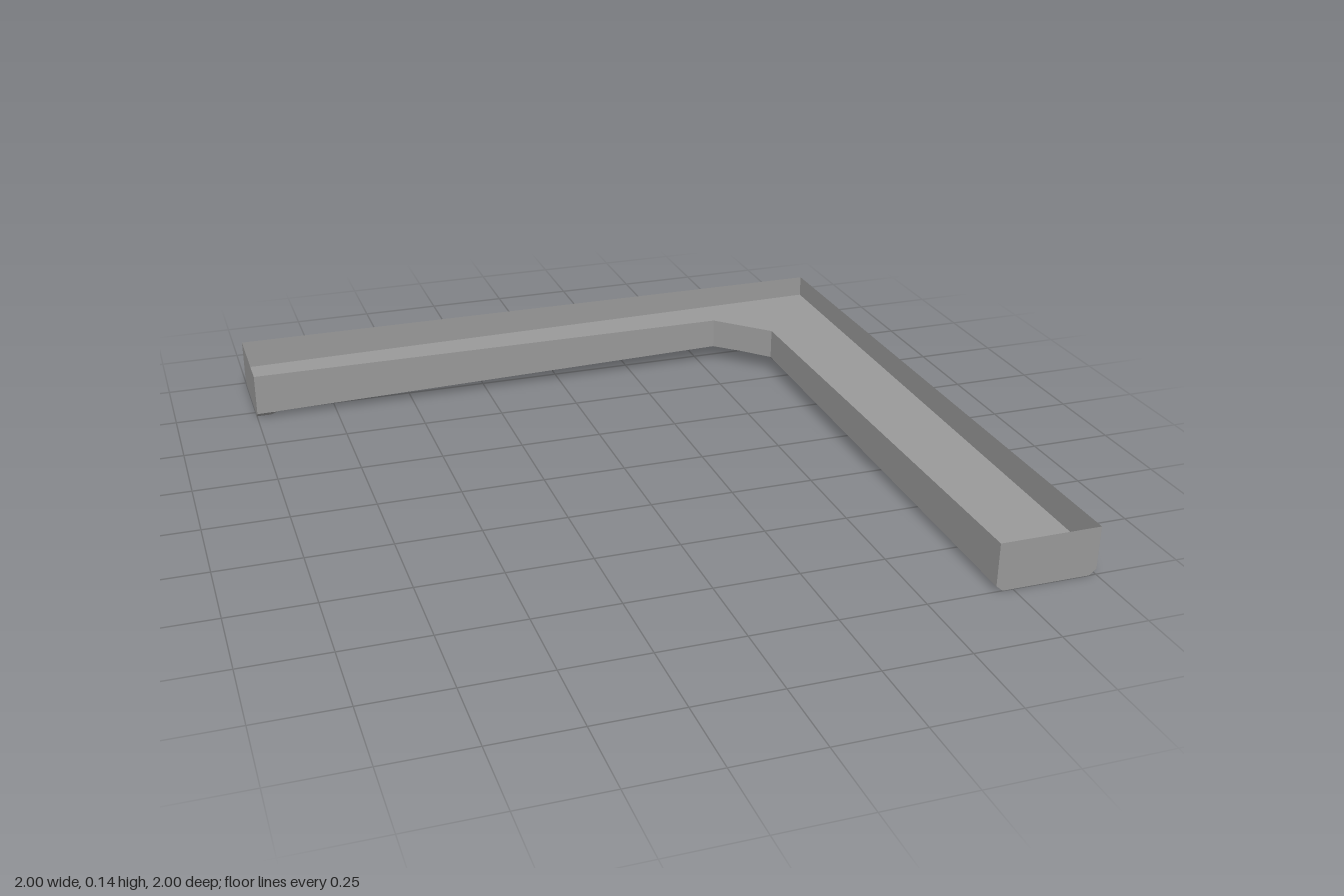
import * as THREE from 'three';
import { ConvexGeometry } from 'three/addons/geometries/ConvexGeometry.js';

const TOP = 0.145;
const material = new THREE.MeshStandardMaterial({ color: 0x999999, side: THREE.DoubleSide, flatShading: true });

// Heights rise with the distance along an arm, from its open end to the corner
const wallY = (x) => 0.016 + 0.0225 * (x + 1);
const keelY = (x) => Math.min(0.015 + 0.0207 * (x + 1), 0.046);
const floorY = (x) => 0.055 + 0.0115 * (x + 1);

// Flat-shaded fan over each polygon
function fanGeometry(polygons) {
  const verts = [];
  for (const p of polygons) {
    for (let i = 1; i < p.length - 1; i++) verts.push(...p[0], ...p[i], ...p[i + 1]);
  }
  const geo = new THREE.BufferGeometry();
  geo.setAttribute('position', new THREE.Float32BufferAttribute(verts, 3));
  geo.computeVertexNormals();
  return geo;
}

// Plan of one arm, mitred along the diagonal; fans start at the inner bend
const plan = [[0.55, -0.7], [-1, -0.7], [-1, -1], [1, -1], [0.625, -0.625]];
// Inset plan of the underside, cut off at the outer corner
const keel = [[0.562, -0.73], [-1, -0.73], [-1, -0.97], [0.8, -0.97], [0.885, -0.885], [0.646, -0.646]];

function createArm(place) {
  const arm = new THREE.Group();
  const add = (name, geo) => {
    const mesh = new THREE.Mesh(geo, material);
    mesh.name = name;
    arm.add(mesh);
  };
  const sheet = (points, h) => points.map(([x, z]) => place(x, h(x), z));

  const [bend, ...rest] = sheet(plan, floorY);
  add('channelFloor', fanGeometry([[bend, ...rest.reverse()]]));

  // Underside with a bevel up to the wall bottoms
  const rim = sheet(plan, wallY);
  const low = sheet(keel, keelY);
  const bevels = [0, 1, 2].map((i) => [rim[i], rim[i + 1], low[i + 1], low[i]]);
  bevels.push([rim[3], low[4], low[3]], [rim[4], rim[0], low[0], low[5]]);
  add('underside', fanGeometry([low, ...bevels]));

  // Thin walls on every side except the mitre
  const lip = sheet(plan, () => TOP);
  const walls = [[4, 0], [0, 1], [1, 2], [2, 3]].map(([i, j]) => [rim[i], lip[i], lip[j], rim[j]]);
  add('channelWalls', fanGeometry(walls));

  // Chamfered foot under the open end
  const foot = [];
  for (const [z, inset] of [[-0.7, -0.02], [-1, 0.02]]) {
    foot.push([-1, 0.017, z], [-0.935, 0.0165, z], [-1, 0, z + inset], [-0.955, 0, z + inset]);
  }
  add('endFoot', new ConvexGeometry(foot.map((p) => new THREE.Vector3(...place(...p)))));
  return arm;
}

export function createModel() {
  const model = new THREE.Group();
  model.name = 'cornerGutter';

  const backArm = createArm((x, y, z) => [x, y, z]);
  backArm.name = 'backArm';

  // Mirrored across the corner diagonal
  const sideArm = createArm((x, y, z) => [-z, y, -x]);
  sideArm.name = 'sideArm';

  model.add(backArm, sideArm);
  return model;
}
